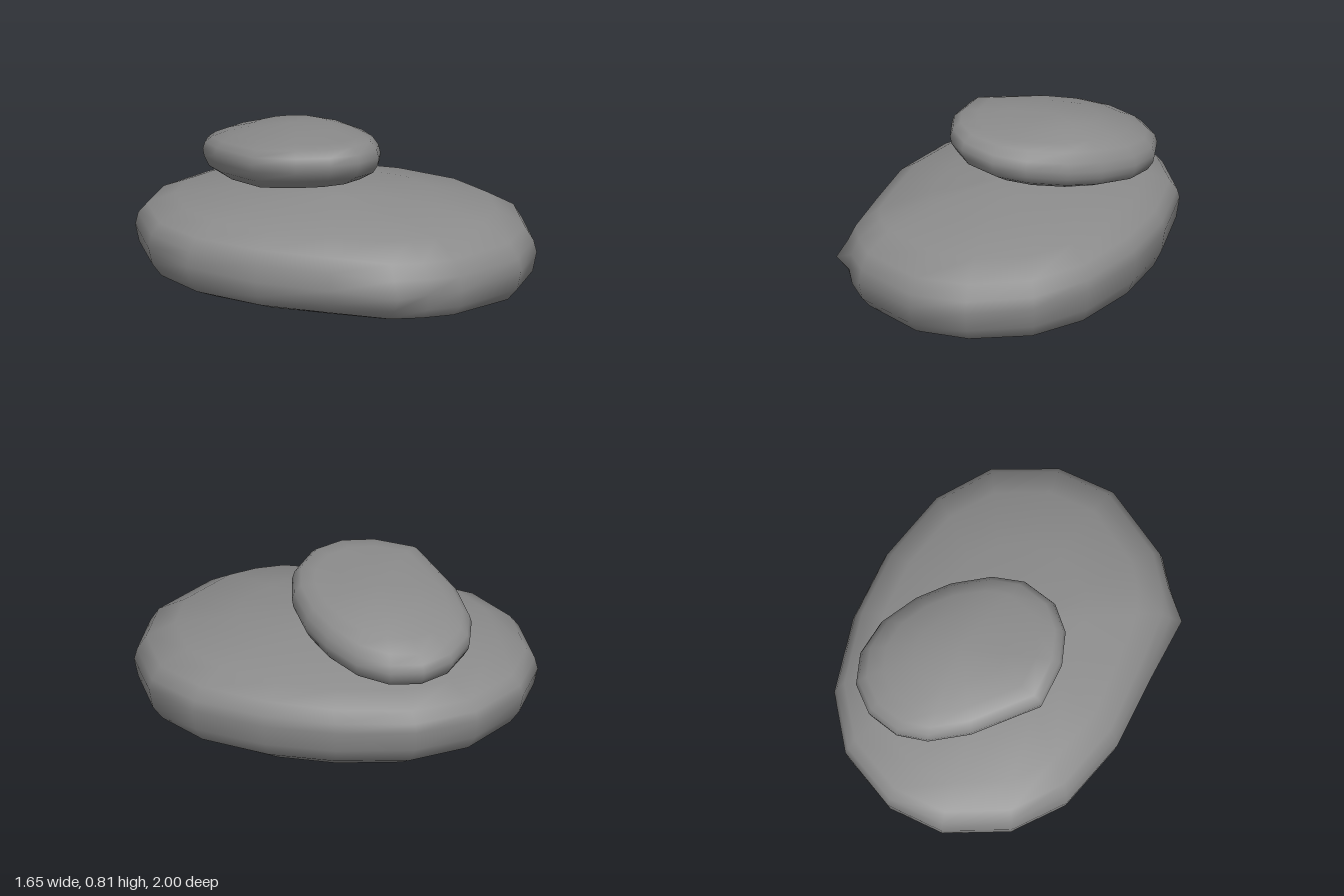
import * as THREE from 'three';
import { mergeVertices } from 'three/addons/utils/BufferGeometryUtils.js';

const stone = new THREE.MeshStandardMaterial({ color: 0x8c8c8c });
stone.name = 'stone grey';

// Pebble lofted from one plan outline [x, z, pinch] through rings of
// [scale, height, tilt along x, tilt along z, extra tilt behind the centre],
// bottom to top. Pinch pulls a corner in above and below the widest ring.
function pebble(name, outline, cx, cz, rings) {
  const n = outline.length;
  const pos = [], index = [];
  for (const [scale, h, tx, tz, tb = 0] of rings) {
    for (const [x, z, pinch = 0] of outline) {
      const s = scale > 0 && scale < 1 ? scale - pinch : scale;
      const dx = (x - cx) * s, dz = (z - cz) * s;
      pos.push(cx + dx, h + tx * dx + tz * dz + tb * Math.min(dz, 0), cz + dz);
    }
  }
  for (let j = 0; j < rings.length - 1; j++) {
    for (let i = 0; i < n; i++) {
      const a = j * n + i, b = j * n + (i + 1) % n;
      if (rings[j][0] > 0) index.push(a, a + n, b);
      if (rings[j + 1][0] > 0) index.push(b, a + n, b + n);
    }
  }
  let geo = new THREE.BufferGeometry();
  geo.setAttribute('position', new THREE.Float32BufferAttribute(pos, 3));
  geo.setIndex(index);
  geo = mergeVertices(geo, 1e-5); // welds the poles
  geo.computeVertexNormals();
  const mesh = new THREE.Mesh(geo, stone);
  mesh.name = name;
  return mesh;
}

export function createModel() {
  const group = new THREE.Group();
  group.name = 'stackedStones';

  // Broad lower stone with one pinched corner at the front right
  group.add(pebble('lowerStone', [
    [-0.24, -1], [0.11, -0.97], [0.39, -0.79], [0.62, -0.45], [0.76, -0.1],
    [0.82, 0.3], [0.75, 0.62], [0.52, 0.88], [0.24, 1], [-0.17, 0.95],
    [-0.33, 0.86], [-0.49, 0.79, 0.05], [-0.62, 0.45, 0.015], [-0.77, 0.09],
    [-0.83, -0.31], [-0.75, -0.62], [-0.52, -0.89],
  ], -0.03, 0, [
    [0, 0.012, 0, 0],
    [0.5, 0.018, -0.02, -0.015],
    [0.8, 0.035, -0.03, -0.02],
    [0.93, 0.088, -0.005, -0.035],
    [0.98, 0.155, 0.01, -0.045],
    [1, 0.25, 0.03, -0.05],
    [0.985, 0.322, 0.01, -0.05, 0.02],
    [0.94, 0.393, 0.01, -0.045, 0.035],
    [0.8, 0.456, 0.005, -0.02, 0.015],
    [0.5, 0.503, 0.01, -0.01],
    [0.2, 0.53, 0, 0],
    [0, 0.538, 0, 0],
  ]));

  // Smaller upper stone, sloping down toward the back left
  group.add(pebble('upperStone', [
    [0.11, -0.81], [0.27, -0.75], [0.38, -0.62], [0.425, -0.44],
    [0.395, -0.23], [0.325, -0.05], [0.2, 0.125], [0.06, 0.225],
    [-0.13, 0.25], [-0.28, 0.185], [-0.4, 0.05], [-0.485, -0.165],
    [-0.34, -0.52], [-0.21, -0.7], [-0.07, -0.79],
  ], 0, -0.28, [
    [0, 0.51, 0, 0],
    [0.5, 0.52, -0.06, 0.09],
    [0.78, 0.535, -0.08, 0.11],
    [0.93, 0.575, -0.1, 0.11],
    [0.985, 0.62, -0.11, 0.1],
    [1, 0.66, -0.11, 0.1],
    [0.975, 0.703, -0.1, 0.1, 0.01],
    [0.9, 0.745, -0.08, 0.1, 0.04],
    [0.74, 0.777, -0.07, 0.055, 0.095],
    [0.45, 0.802, -0.03, 0.03, 0.1],
    [0, 0.812, 0, 0],
  ]));

  return group;
}
